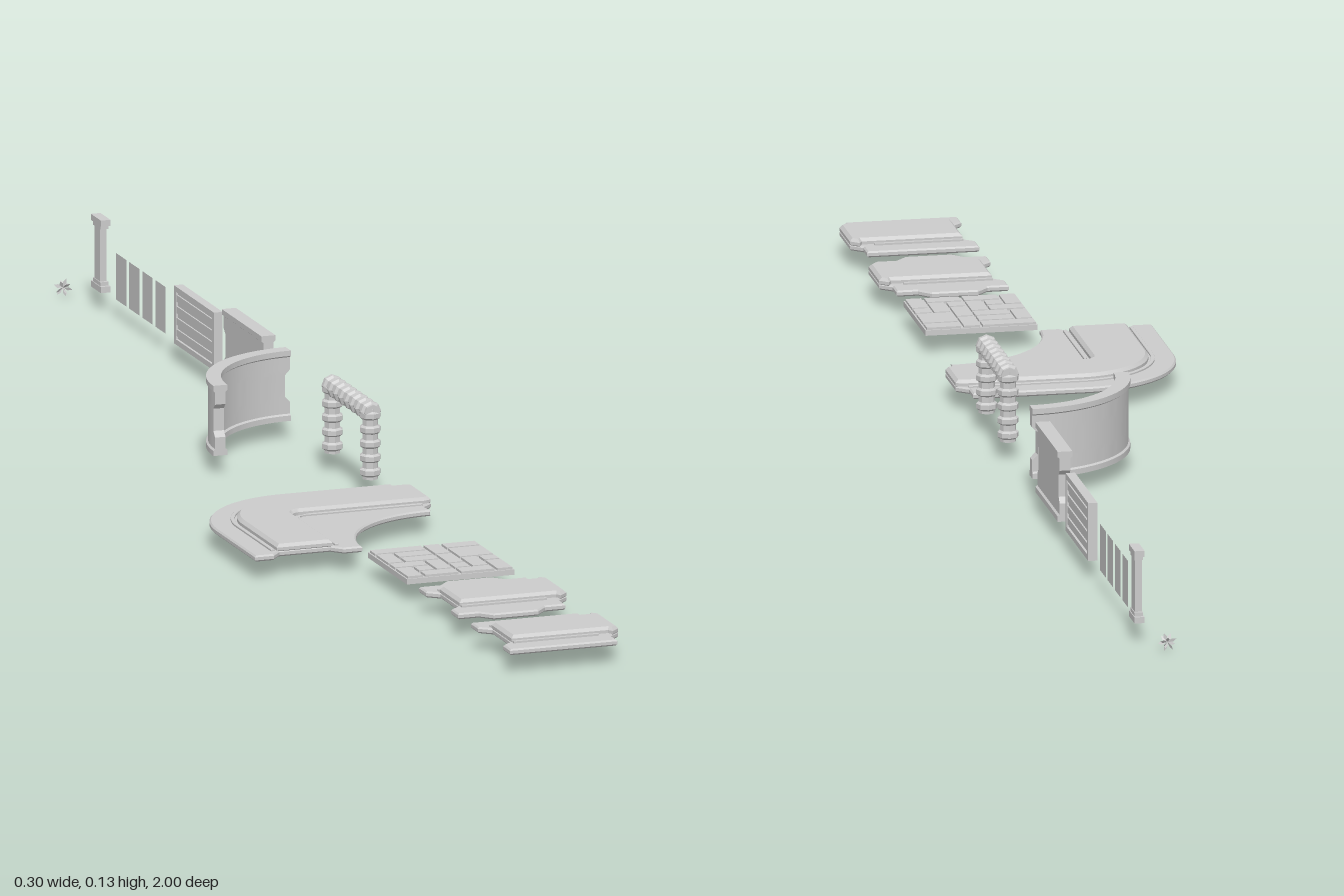
import * as THREE from 'three';
import { toCreasedNormals } from 'three/addons/utils/BufferGeometryUtils.js';

const GROUND = 0.024;
const mat = new THREE.MeshStandardMaterial({ color: 0xcccccc });
const thinMat = new THREE.MeshStandardMaterial({ color: 0xcccccc, side: THREE.DoubleSide });

function mesh(parent, name, geo, x = 0, y = 0, z = 0, material = mat) {
  const m = new THREE.Mesh(geo, material);
  m.name = name;
  m.position.set(x, y, z);
  parent.add(m);
  return m;
}

function group(parent, name, x = 0, y = 0, z = 0) {
  const g = new THREE.Group();
  g.name = name;
  g.position.set(x, y, z);
  parent.add(g);
  return g;
}

const box = (parent, name, w, h, d, x, y, z) => mesh(parent, name, new THREE.BoxGeometry(w, h, d), x, y, z);

// Horizontal slab from a plan outline in x and z, with chamfered rims
function slab(parent, name, shape, y0, y1, bevel = 0.002) {
  const geo = new THREE.ExtrudeGeometry(shape, {
    depth: y1 - y0 - 2 * bevel, bevelEnabled: true, bevelThickness: bevel,
    bevelSize: bevel, bevelOffset: -bevel, bevelSegments: 1, curveSegments: 14,
  });
  geo.rotateX(Math.PI / 2);
  return mesh(parent, name, toCreasedNormals(geo, 0.5), 0, y1 - bevel, 0);
}

const plan = (pts) => new THREE.Shape(pts.map(([x, z]) => new THREE.Vector2(x, z)));

// Joint outline across an edge at x, sticking out by d, centred on z = c
const joint = (x, d, c = 0) => [[x, c - 0.047], [x + d, c - 0.034], [x + d, c + 0.034], [x, c + 0.047]];

// Straight path tile: low verges, raised path, tab on +x and socket on -x
function pathTile(parent, name, z, sideTabs) {
  const g = group(parent, name, 0.0625, 0, z);
  const h = 0.0725;
  const sideTab = (s) => (sideTabs
    ? [[s * 0.045, s * h], [s * 0.03, s * (h + 0.016)], [-s * 0.03, s * (h + 0.016)], [-s * 0.045, s * h]] : []);
  slab(g, 'tileBase', plan([
    [-h, -h], ...sideTab(-1), [h, -h], ...joint(h, 0.015),
    [h, h], ...sideTab(1), [-h, h], ...joint(-h, 0.015).reverse(),
  ]), GROUND, 0.032);
  slab(g, 'raisedPath', plan([
    [-h + 0.015, -0.037], [h, -0.037], [h + 0.004, -0.044], [h + 0.015, -0.034],
    [h + 0.015, 0.034], [h + 0.004, 0.044], [h, 0.037], [-h + 0.015, 0.037],
  ]), 0.028, 0.04, 0.004);
  for (const s of [-1, 1]) box(g, 'pathKerb', 2 * h - 0.03, 0.003, 0.005, 0, 0.033, s * 0.043);
}

// Paving tile with interlocking stones on a 6 x 6 grid
function pavingTile(parent) {
  const g = group(parent, 'pavingTile', 0.0625, 0, 0.545);
  box(g, 'pavingBase', 0.145, 0.007, 0.145, 0, GROUND + 0.0035, 0);
  const stones = [
    [0, 0, 3, 1], [3, 0, 1, 2], [4, 0, 2, 1], [0, 1, 1, 2], [1, 1, 2, 1], [4, 1, 2, 2],
    [1, 2, 2, 1], [3, 2, 1, 2], [0, 3, 2, 1], [2, 3, 1, 2], [4, 3, 1, 2], [5, 3, 1, 1],
    [0, 4, 1, 2], [1, 4, 1, 1], [3, 4, 1, 1], [5, 4, 1, 2], [1, 5, 2, 1], [3, 5, 2, 1],
  ];
  const u = 0.145 / 6;
  for (const [x, z, w, d] of stones) {
    box(g, 'stone', w * u - 0.004, 0.004, d * u - 0.004, (x + w / 2 - 3) * u, 0.032, (z + d / 2 - 3) * u);
  }
}

// Corner path tile turning from the front edge to the +x edge
function cornerTile(parent) {
  const g = group(parent, 'cornerTile');
  const L = -0.152, R = 0.135, B = 0.16, F = 0.445;
  const base = new THREE.Shape();
  base.moveTo(L, F);
  base.lineTo(L, B + 0.14);
  base.absarc(L + 0.14, B + 0.14, 0.14, Math.PI, 1.5 * Math.PI, false);
  base.lineTo(R, B);
  for (const p of joint(R, 0.015, 0.2325)) base.lineTo(...p);
  base.lineTo(R, F - 0.14);
  base.absarc(R, F, 0.142, 1.5 * Math.PI, Math.PI, true);
  // socket on the front edge
  for (const [dx, z] of [[0.047, F], [0.034, F - 0.015], [-0.034, F - 0.015], [-0.047, F]]) base.lineTo(-0.0795 + dx, z);
  slab(g, 'cornerBase', base, GROUND, 0.032);

  // Curved strip between two offsets from the outer edge
  const strip = (a, b, inner, front, right) => {
    const s = new THREE.Shape();
    const r = 0.14 - a;
    s.moveTo(L + a, front);
    s.lineTo(L + a, B + 0.14);
    s.absarc(L + 0.14, B + 0.14, r, Math.PI, 1.5 * Math.PI, false);
    s.lineTo(right, B + a);
    if (right > R) {
      s.lineTo(R + 0.015, B + a + 0.004);
      s.lineTo(R + 0.015, B + b - 0.004);
    }
    s.lineTo(right, B + b);
    s.lineTo(L + b + inner, B + b);
    s.absarc(L + b + inner, B + b + inner, inner, 1.5 * Math.PI, Math.PI, true);
    s.lineTo(L + b, front);
    return s;
  };
  slab(g, 'raisedPath', strip(0.035, 0.11, 0.014, F - 0.015, R + 0.006), 0.028, 0.04, 0.004);
  slab(g, 'outerKerb', strip(0.027, 0.032, 0.108, F - 0.015, R), 0.031, 0.0345, 0.0005);
  slab(g, 'innerKerb', strip(0.113, 0.118, 0.012, F - 0.015, R), 0.031, 0.0345, 0.0005);
}

// Bar of eight sides wrapped by ribs, standing on its origin
function ribbedBar(parent, name, length, ribs) {
  const g = group(parent, name);
  mesh(g, 'bar', toCreasedNormals(new THREE.CylinderGeometry(0.0105, 0.0105, length, 8), 0.4), 0, length / 2, 0);
  for (let i = 0; i < ribs; i++) {
    const pts = [[0.0105, -0.0055], [0.0138, -0.003], [0.0138, 0.003], [0.0105, 0.0055]].map((p) => new THREE.Vector2(...p));
    mesh(g, 'rib', toCreasedNormals(new THREE.LatheGeometry(pts, 8), 0.4), 0, ((i + 0.5) / ribs) * length, 0);
  }
  return g;
}

function archway(parent) {
  const g = group(parent, 'archway', 0.13, GROUND, 0.0265);
  for (const s of [-1, 1]) ribbedBar(g, 'archPost', 0.093, 5).position.z = s * 0.07;
  const beam = ribbedBar(g, 'archBeam', 0.16, 8);
  beam.rotation.x = Math.PI / 2;
  beam.position.set(0, 0.088, -0.08);
}

// Wall with plinth, rim and recessed ends: [height, thickness, end recess] per row
const ROWS = [
  [0, 0.019, 0], [0.007, 0.019, 0], [0.009, 0.014, 0], [0.024, 0.014, 0], [0.031, 0.014, 0.007],
  [0.06, 0.014, 0.007], [0.067, 0.014, 0], [0.083, 0.014, 0], [0.085, 0.019, 0], [0.092, 0.019, 0],
];
function wallGeometry(length, radius) {
  const n = ROWS.length - 1;
  const geo = new THREE.BoxGeometry(1, 1, 1, 1, n, 24);
  const p = geo.attributes.position;
  for (let i = 0; i < p.count; i++) {
    const [y, t, recess] = ROWS[Math.round((p.getY(i) + 0.5) * n)];
    const x = p.getX(i) * t;
    const z = p.getZ(i) * (length - 2 * recess);
    if (radius) {
      // bend into a quarter ring round the origin
      const a = Math.PI * 1.25 - (z / length) * Math.PI / 2;
      p.setXYZ(i, (radius - x) * Math.cos(a), y, (radius - x) * Math.sin(a));
    } else p.setXYZ(i, x, y, z);
  }
  return toCreasedNormals(geo, 0.4);
}

// Framed panel with horizontal slats on both faces
function slattedPanel(parent) {
  const g = group(parent, 'slattedPanel', 0.136, GROUND, -0.557);
  const w = 0.148, h = 0.076;
  box(g, 'panelCore', 0.006, h, w - 0.004, 0, h / 2, 0);
  for (const s of [-1, 1]) {
    box(g, 'frameSide', 0.012, h, 0.007, 0, h / 2, s * (w / 2 - 0.0035));
    box(g, 'frameRail', 0.012, 0.007, w - 0.014, 0, h / 2 + s * (h / 2 - 0.0035), 0);
  }
  for (let i = 0; i < 4; i++) box(g, 'slat', 0.01, 0.009, w - 0.014, 0, 0.0155 + i * 0.015, 0);
}

// Slim post with stepped foot and head
function column(parent) {
  const g = group(parent, 'column', 0.136, GROUND, -0.919);
  const h = 0.095;
  box(g, 'shaft', 0.009, h, 0.02, 0, h / 2, 0);
  for (const y of [0.004, h - 0.004]) box(g, 'columnEnd', 0.013, 0.008, 0.037, 0, y, 0);
  for (const y of [0.0105, h - 0.0105]) box(g, 'columnStep', 0.011, 0.005, 0.028, 0, y, 0);
}

// Small tuft of thin pointed leaves fanning out of one centre
function tuft(parent) {
  const g = group(parent, 'leafTuft', 0.11, 0.0118, -0.988);
  const leaf = new THREE.ShapeGeometry(plan([[0, 0], [0.0025, 0.007], [0, 0.0125], [-0.0025, 0.007]]));
  for (let i = 0; i < 14; i++) {
    const y = 1 - (2 * (i + 0.5)) / 14;
    const r = Math.sqrt(1 - y * y);
    const m = mesh(g, 'leaf', leaf, 0, 0, 0, thinMat);
    m.quaternion.setFromUnitVectors(new THREE.Vector3(0, 1, 0),
      new THREE.Vector3(r * Math.cos(i * 2.4), y, r * Math.sin(i * 2.4)));
  }
}

export function createModel() {
  const root = new THREE.Group();
  root.name = 'buildingKit';
  pathTile(root, 'straightTile', 0.9275, false);
  pathTile(root, 'crossingTile', 0.735, true);
  pavingTile(root);
  cornerTile(root);
  archway(root);
  mesh(root, 'curvedWall', wallGeometry(0.225, 0.144), 0.135, GROUND, -0.077);
  mesh(root, 'straightWall', wallGeometry(0.147), 0.134, GROUND, -0.365);
  slattedPanel(root);
  // Row of thin upright sheets
  for (let i = 0; i < 4; i++) {
    const sheet = mesh(root, 'thinPanel', new THREE.PlaneGeometry(0.038, 0.061), 0.136, GROUND + 0.031, -0.697 - i * 0.0487, thinMat);
    sheet.rotation.y = Math.PI / 2;
  }
  column(root);
  tuft(root);
  return root;
}
